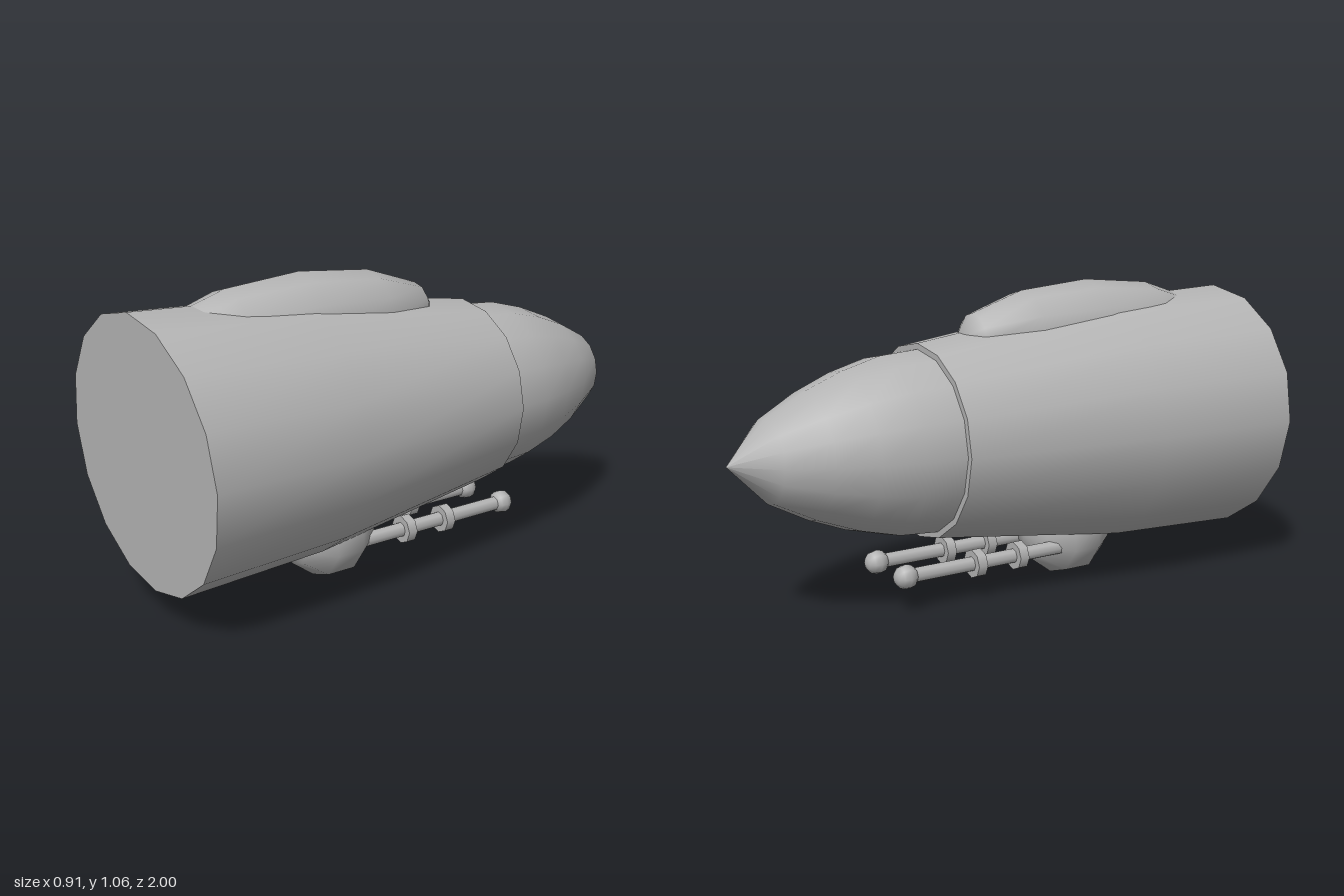
import * as THREE from 'three';

export function createModel() {
  const model = new THREE.Group();
  const grey = new THREE.MeshStandardMaterial({ color: 0xb4b4b4 });
  grey.name = 'grey hull';

  function add(name, geometry, x, y, z) {
    const mesh = new THREE.Mesh(geometry, grey);
    mesh.name = name;
    mesh.position.set(x, y, z);
    model.add(mesh);
    return mesh;
  }

  // Turned shape along z from [radius, z] pairs, running from back to front
  const turned = (profile, sides) => new THREE.LatheGeometry(
    profile.map(([r, z]) => new THREE.Vector2(r, z)), sides).rotateX(Math.PI / 2);

  // Ball with its poles on z and a vertex line along the bottom
  const ball = (sides, rings) => new THREE.SphereGeometry(1, sides, rings)
    .rotateY(Math.PI / 2).rotateX(Math.PI / 2);

  // Lean the open end of the hull so its top reaches further forward
  function leanFront(geometry) {
    const p = geometry.attributes.position;
    for (let i = 0; i < p.count; i++) {
      if (p.getZ(i) > 0.9) p.setZ(i, p.getZ(i) + 0.055 * p.getY(i));
    }
    return geometry;
  }

  const axisY = 0.556;

  // Hull with its flat ends
  add('hull', leanFront(turned([[0.332, -0.31], [0.43, 0.42], [0.4535, 0.975]], 16)), 0, axisY, 0);
  const frontCap = new THREE.CircleGeometry(0.4535, 16, Math.PI / 2).translate(0, 0, 0.975);
  add('hullFrontCap', leanFront(frontCap), 0, axisY, 0);
  const backCap = new THREE.CircleGeometry(0.332, 16, Math.PI / 2).rotateY(Math.PI);
  add('hullBackCap', backCap, 0, axisY, -0.31);

  // Pointed nose
  add('noseCone', turned([
    [0, -1], [0.138, -0.865], [0.212, -0.725], [0.265, -0.59], [0.302, -0.45], [0.312, -0.31],
  ], 16), 0, axisY, 0);

  // Long blister on the top
  add('topBlister', ball(12, 6).scale(0.175, 0.18, 0.55), 0, 0.884, 0.385);

  // Round turret underneath
  add('turret', ball(10, 5).scale(0.17, 0.17, 0.17), 0, 0.165, 0.295);

  // Pair of barrels with collars and ball tips
  const rod = (r, length, sides) =>
    new THREE.CylinderGeometry(r, r, length, sides).rotateX(Math.PI / 2);
  for (const [side, x] of [['left', 0.1], ['right', -0.1]]) {
    add(side + 'Barrel', rod(0.026, 0.66, 8), x, 0.127, -0.09);
    for (const z of [0.026, -0.146]) add(side + 'BarrelCollar', rod(0.05, 0.036, 8), x, 0.127, z);
    add(side + 'BarrelTip', ball(8, 6).scale(0.043, 0.043, 0.043), x, 0.127, -0.423);
  }

  return model;
}
